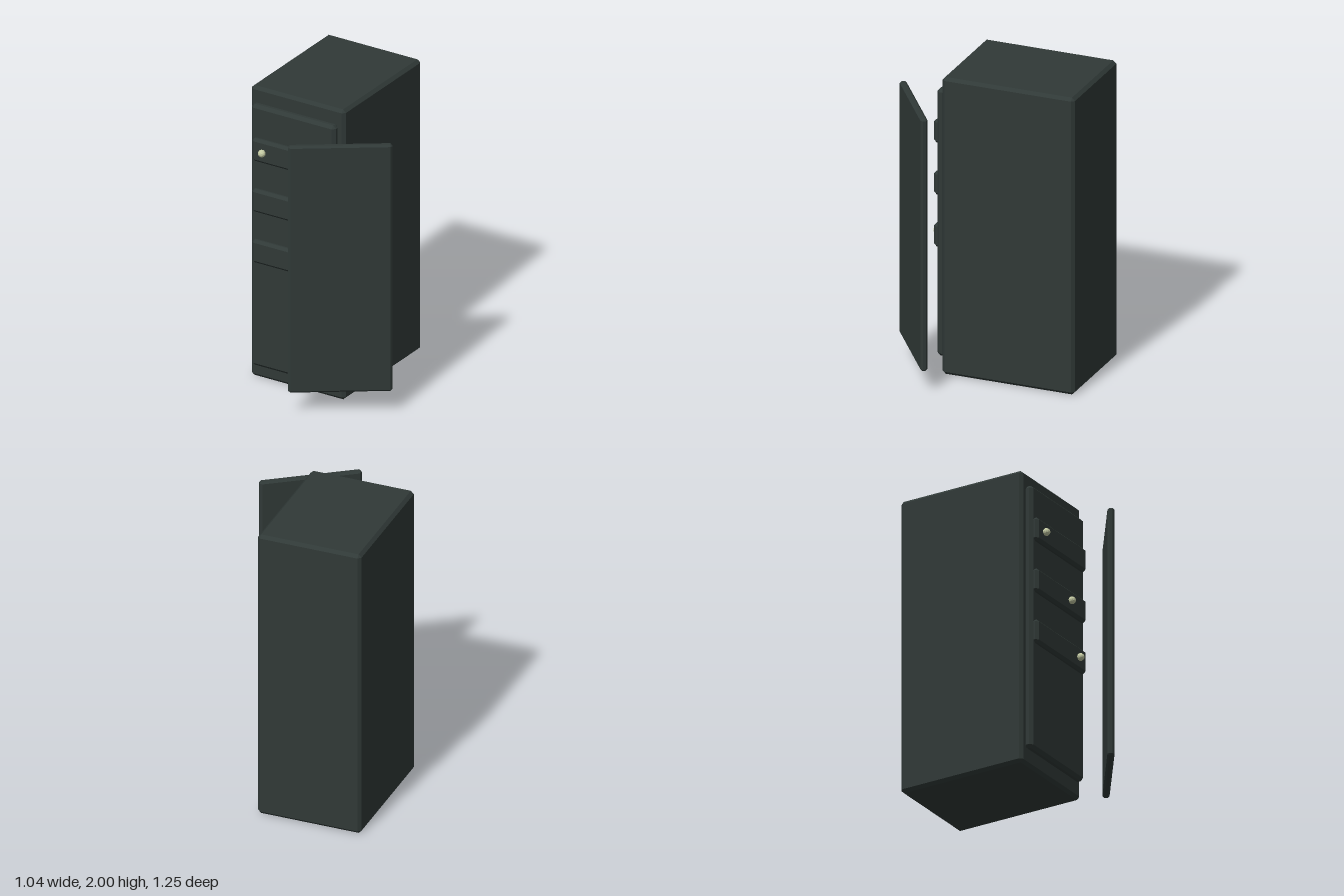
import * as THREE from 'three';
import { ConvexGeometry } from 'three/addons/geometries/ConvexGeometry.js';

// Box with every edge and corner cut by a flat chamfer
function chamferBox(w, h, d, c) {
  const points = [];
  for (const sx of [-1, 1]) for (const sy of [-1, 1]) for (const sz of [-1, 1]) {
    const x = w / 2, y = h / 2, z = d / 2;
    points.push(
      new THREE.Vector3(sx * x, sy * (y - c), sz * (z - c)),
      new THREE.Vector3(sx * (x - c), sy * y, sz * (z - c)),
      new THREE.Vector3(sx * (x - c), sy * (y - c), sz * z)
    );
  }
  return new ConvexGeometry(points);
}

export function createModel() {
  const model = new THREE.Group();
  const darkMetal = new THREE.MeshStandardMaterial({ color: 0x303937 });
  darkMetal.name = 'darkMetal';
  const paleBrass = new THREE.MeshStandardMaterial({ color: 0xc5cba4, flatShading: true });
  paleBrass.name = 'paleBrass';

  const add = (name, geometry, material, x, y, z) => {
    const mesh = new THREE.Mesh(geometry, material);
    mesh.name = name;
    mesh.position.set(x, y, z);
    model.add(mesh);
    return mesh;
  };

  // Tall cabinet and the raised panel on its front
  add('cabinetBody', chamferBox(0.695, 2, 0.895, 0.02), darkMetal, -0.1725, 1, -0.1775);
  add('frontPanel', chamferBox(0.62, 1.8, 0.06, 0.02), darkMetal, -0.175, 1, 0.292);

  // Three drawer fronts, each with a knob further to the left than the last
  const knob = new THREE.IcosahedronGeometry(0.025, 1);
  const drawer = chamferBox(0.58, 0.158, 0.06, 0.017);
  [[1.603, -0.375], [1.253, -0.075], [0.903, 0.025]].forEach(([y, knobX], i) => {
    add('drawerFront' + (i + 1), drawer, darkMetal, -0.172, y, 0.32);
    add('knob' + (i + 1), knob, paleBrass, knobX, y, 0.362);
  });

  // Door swung open and standing clear of the cabinet
  const door = add('openDoor', chamferBox(0.65, 1.7, 0.045, 0.013), darkMetal, 0.247, 1.002, 0.427);
  door.rotation.y = THREE.MathUtils.degToRad(35);

  return model;
}
